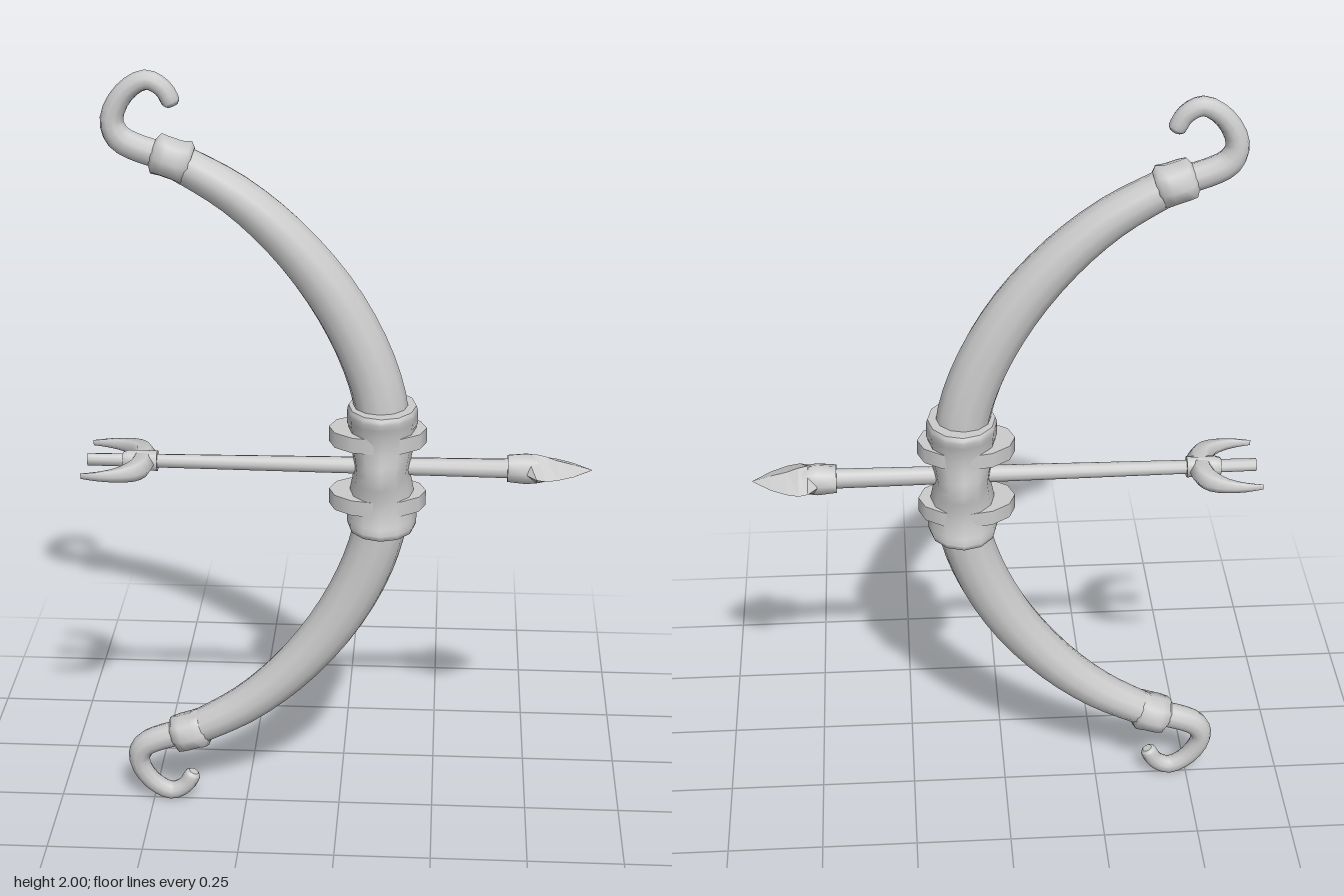
import * as THREE from 'three';

const grey = new THREE.MeshStandardMaterial({ color: 0xcccccc });

// Sweep an ellipse through stations [x, y, half size in plane, half size in z].
function loft(stations, sides, perSpan = 1, flat = false) {
  const path = new THREE.CatmullRomCurve3(stations.map(s => new THREE.Vector3(s[0], s[1], 0)));
  const size = new THREE.CatmullRomCurve3(stations.map(s => new THREE.Vector3(s[2], s[3], 0)), false, 'catmullrom', 0.5);
  const n = (stations.length - 1) * perSpan;
  const pts = Array.from({ length: n + 1 }, (_, i) => path.getPoint(i / n));
  const pos = [], index = [];
  for (let i = 0; i <= n; i++) {
    const t = pts[Math.min(i + 1, n)].clone().sub(pts[Math.max(i - 1, 0)]).normalize();
    const r = size.getPoint(i / n);
    for (let j = 0; j < sides; j++) {
      const a = (j / sides) * Math.PI * 2, u = Math.cos(a) * r.x;
      pos.push(pts[i].x - t.y * u, pts[i].y + t.x * u, Math.sin(a) * r.y);
    }
  }
  for (let i = 0; i < n; i++) {
    for (let j = 0; j < sides; j++) {
      const k = (j + 1) % sides;
      const a = i * sides + j, b = i * sides + k, c = a + sides, d = b + sides;
      index.push(a, b, d, a, d, c);
    }
  }
  // end caps on their own vertices, so the rims stay sharp
  for (const end of [0, n]) {
    const base = pos.length / 3;
    pos.push(...pos.slice(end * sides * 3, (end + 1) * sides * 3), pts[end].x, pts[end].y, 0);
    for (let j = 0; j < sides; j++) {
      const a = base + j, b = base + (j + 1) % sides, c = base + sides;
      if (end === 0) index.push(c, b, a); else index.push(c, a, b);
    }
  }
  let geo = new THREE.BufferGeometry();
  geo.setAttribute('position', new THREE.Float32BufferAttribute(pos, 3));
  geo.setIndex(index);
  if (flat) geo = geo.toNonIndexed();
  geo.computeVertexNormals();
  return geo;
}

function add(parent, name, geo) {
  const mesh = new THREE.Mesh(geo, grey);
  mesh.name = name;
  parent.add(mesh);
  return mesh;
}

// One half of the bow, heights measured from the arrow line
function buildLimb(name) {
  const limb = new THREE.Group();
  limb.name = name;
  add(limb, 'limbArm', loft([
    [0.11, 0.08, 0.068, 0.068], [0.10, 0.185, 0.067, 0.067], [0.055, 0.32, 0.066, 0.064],
    [-0.025, 0.465, 0.063, 0.06], [-0.135, 0.60, 0.057, 0.056], [-0.25, 0.70, 0.051, 0.051],
    [-0.36, 0.765, 0.046, 0.046], [-0.40, 0.785, 0.044, 0.044],
  ], 12, 3));
  add(limb, 'limbCollar', loft([
    [-0.355, 0.772, 0.043, 0.043], [-0.364, 0.775, 0.056, 0.054], [-0.385, 0.781, 0.05, 0.06],
    [-0.415, 0.791, 0.05, 0.06], [-0.435, 0.797, 0.052, 0.05], [-0.444, 0.80, 0.034, 0.034],
  ], 8));
  add(limb, 'limbHook', loft([
    [-0.40, 0.788, 0.034, 0.034], [-0.47, 0.807, 0.034, 0.034], [-0.522, 0.835, 0.033, 0.032],
    [-0.537, 0.88, 0.028, 0.028], [-0.505, 0.943, 0.025, 0.025], [-0.453, 0.974, 0.024, 0.024],
    [-0.414, 0.955, 0.023, 0.023], [-0.395, 0.922, 0.022, 0.022], [-0.391, 0.913, 0.013, 0.013],
  ], 10, 3));
  return limb;
}

export function createModel() {
  const model = new THREE.Group();
  model.name = 'bowAndArrow';

  // Bow: two mirrored halves
  const bow = new THREE.Group();
  bow.name = 'bow';
  bow.position.y = 1;
  const lower = buildLimb('lowerLimb');
  lower.rotation.x = Math.PI;
  bow.add(buildLimb('upperLimb'), lower);

  // Wrapped grip with flared ends and a swollen middle
  const half = [[0.165, 0.084, 0.097], [0.15, 0.088, 0.104], [0.115, 0.085, 0.093], [0.06, 0.08, 0.09]];
  const rings = [
    ...half.map(([y, a, b]) => [0.108, -y, a, b]),
    [0.108, 0, 0.07, 0.103],
    ...half.slice().reverse().map(([y, a, b]) => [0.108, y, a, b]),
  ];
  add(bow, 'grip', loft(rings, 12, 2));

  // Bands that stand out of the grip, front and back
  for (const s of [-1, 1]) {
    const band = add(bow, 'gripBand', new THREE.CylinderGeometry(1, 1, 0.04, 12));
    band.scale.set(0.122, 1, 0.086);
    band.position.set(0.097, s * 0.085, 0);
    const lip = add(bow, 'gripLip', new THREE.CylinderGeometry(1, 1, 0.03, 12));
    lip.scale.set(0.088, 1, 0.075);
    lip.position.set(0.108, s * 0.13, 0);
  }
  model.add(bow);

  // Arrow lying along x
  const arrow = new THREE.Group();
  arrow.name = 'arrow';
  arrow.position.y = 1;
  add(arrow, 'shaft', loft([[-0.635, 0, 0.016, 0.016], [0.44, 0, 0.025, 0.025]], 10));
  add(arrow, 'headSocket', loft([
    [0.422, 0, 0.036, 0.037], [0.47, 0, 0.041, 0.041], [0.50, 0, 0.037, 0.037], [0.545, 0, 0.018, 0.02],
  ], 8));
  add(arrow, 'arrowHead', loft([
    [0.468, 0, 0.038, 0.04], [0.493, 0, 0.04, 0.07], [0.515, 0, 0.035, 0.077],
    [0.545, 0, 0.024, 0.068], [0.585, 0, 0.014, 0.045], [0.632, 0, 0.001, 0.001],
  ], 4, 1, true));

  // Tail: a short sleeve and two swept crescent blades
  add(arrow, 'tailSleeve', loft([[-0.545, 0, 0.022, 0.022], [-0.53, 0, 0.028, 0.026], [-0.458, 0, 0.028, 0.026]], 8));
  const blade = loft([
    [-0.495, 0.005, 0.03, 0.028], [-0.498, 0.045, 0.032, 0.027], [-0.517, 0.075, 0.028, 0.024],
    [-0.552, 0.096, 0.017, 0.018], [-0.595, 0.105, 0.008, 0.013], [-0.637, 0.105, 0.001, 0.008],
  ], 6, 2);
  for (const s of [-1, 1]) add(arrow, 'tailBlade', blade).rotation.x = s * Math.PI / 2;
  model.add(arrow);

  return model;
}
